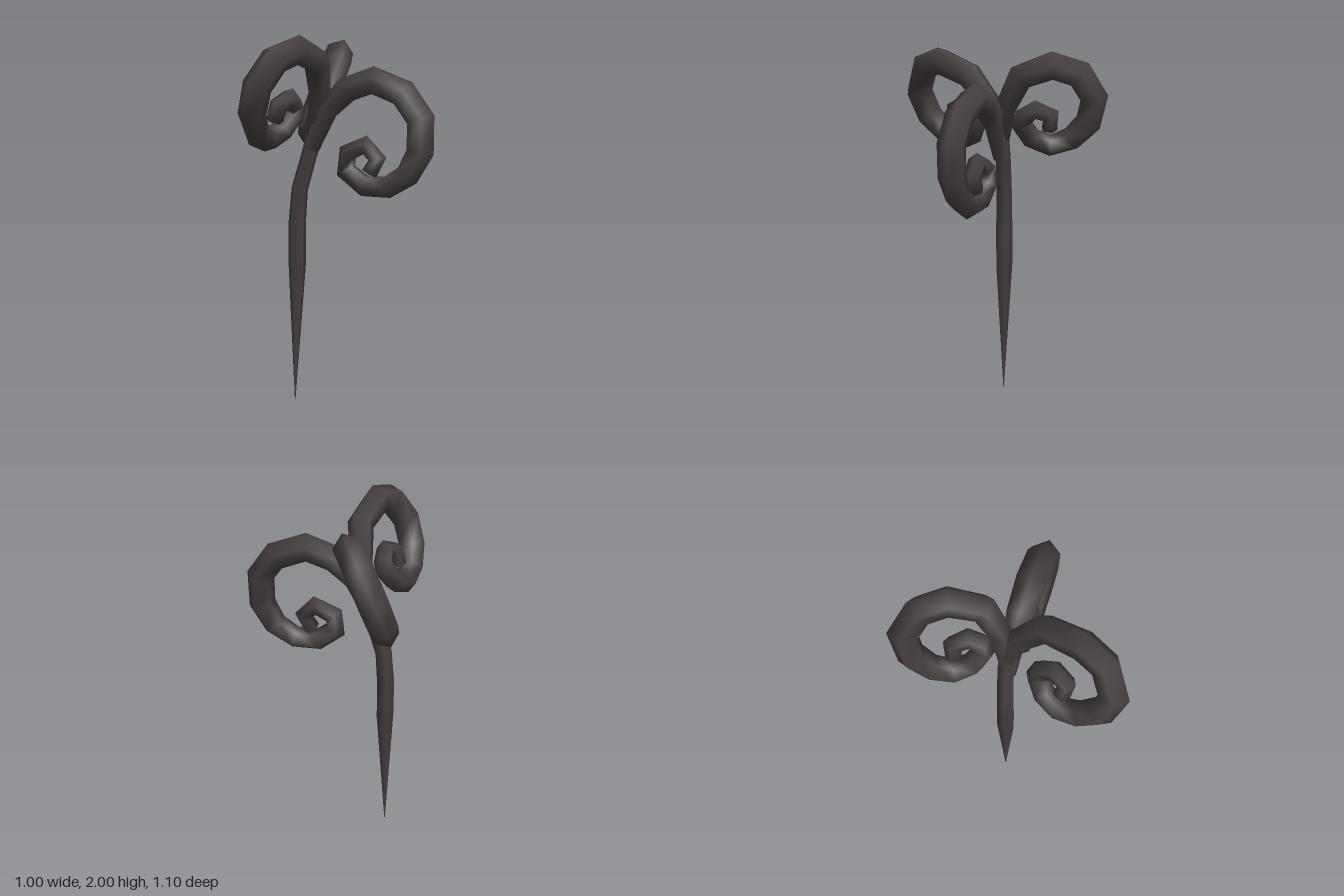
import * as THREE from 'three';

const V = (x, y, z) => new THREE.Vector3(x, y, z);
const SIDES = 5;

// Five-sided tube through the points, one ring per point, one corner facing the outside of the bend
function sweep(points, radii) {
  const last = points.length - 1;
  const tangents = points.map((p, i) =>
    points[Math.min(i + 1, last)].clone().sub(points[Math.max(i - 1, 0)]).normalize());
  const axis = V(0, 0, 0);
  for (let i = 0; i < last; i++) axis.sub(tangents[i].clone().cross(tangents[i + 1]));
  axis.normalize();

  const pos = [], index = [];
  points.forEach((p, i) => {
    const out = axis.clone().cross(tangents[i]).normalize();
    const side = tangents[i].clone().cross(out).normalize();
    for (let j = 0; j < SIDES; j++) {
      const a = (j / SIDES) * Math.PI * 2;
      const v = p.clone()
        .addScaledVector(out, Math.cos(a) * radii[i])
        .addScaledVector(side, Math.sin(a) * radii[i]);
      pos.push(v.x, v.y, v.z);
    }
  });
  pos.push(...points[0].toArray(), ...points[last].toArray());
  const startCap = points.length * SIDES, endCap = startCap + 1;
  for (let j = 0; j < SIDES; j++) {
    const k = (j + 1) % SIDES;
    for (let i = 0; i < last; i++) {
      const a = i * SIDES + j, b = i * SIDES + k;
      index.push(a, b, b + SIDES, a, b + SIDES, a + SIDES);
    }
    index.push(startCap, k, j, endCap, last * SIDES + j, last * SIDES + k);
  }
  const geo = new THREE.BufferGeometry();
  geo.setAttribute('position', new THREE.Float32BufferAttribute(pos, 3));
  geo.setIndex(index);
  geo.computeVertexNormals();
  return geo;
}

export function createModel() {
  const group = new THREE.Group();
  const bark = new THREE.MeshStandardMaterial({ color: 0x453e3e });
  bark.name = 'dark bark';

  const add = (name, points, radii) => {
    const mesh = new THREE.Mesh(sweep(points, radii), bark);
    mesh.name = name;
    group.add(mesh);
  };

  // Stem: pointed at the foot, leaning toward the curls at the top
  add('stem',
    [V(-0.22, 0, 0), V(-0.204, 0.77, 0), V(-0.203, 1.0, 0), V(-0.188, 1.19, 0),
      V(-0.132, 1.39, 0.005), V(-0.09, 1.54, 0.02)],
    [0.002, 0.05, 0.05, 0.047, 0.045, 0.05]);

  // Curl thickness: swells after the stem, thins toward the coiled tip
  const curlRadii = [0.045, 0.06, 0.073, 0.077, 0.077, 0.077, 0.075, 0.068, 0.063,
    0.06, 0.058, 0.055, 0.053, 0.05, 0.045];

  // Low curl, in an upright plane
  const low = [[-0.125, 1.41], [-0.045, 1.61], [0.055, 1.72], [0.19, 1.77], [0.34, 1.705],
    [0.425, 1.575], [0.425, 1.41], [0.365, 1.29], [0.265, 1.222], [0.15, 1.222],
    [0.055, 1.30], [0.063, 1.39], [0.155, 1.435], [0.215, 1.365], [0.175, 1.29]];
  add('lowCurl', low.map(([x, y]) => V(x, y, 0.07 + 0.43 * x)), curlRadii);

  // High curls: [reach, height], the plane tilted sideways with height
  const high = [[-0.01, 1.5], [0.015, 1.7], [0.09, 1.865], [0.25, 1.925], [0.39, 1.88],
    [0.477, 1.745], [0.45, 1.6], [0.365, 1.51], [0.255, 1.472], [0.155, 1.515],
    [0.098, 1.6], [0.11, 1.645], [0.17, 1.685], [0.25, 1.65], [0.245, 1.57]];
  const tilt = y => 0.14 + 0.38 * (y - 1.93);
  add('backCurl', high.map(([d, y]) => V(-0.09 + tilt(y), y, -d)), curlRadii);

  const front = high.map(([d, y]) =>
    V(-0.18 - 0.6 * d + 0.8 * tilt(y), y, 0.056 + 0.8 * d + 0.6 * tilt(y)));
  // Its root is drawn in to meet the stem
  front.splice(0, 3, V(-0.11, 1.48, 0.005), V(-0.08, 1.7, 0.06), V(-0.1, 1.865, 0.185));
  add('frontCurl', front, curlRadii);

  return group;
}
